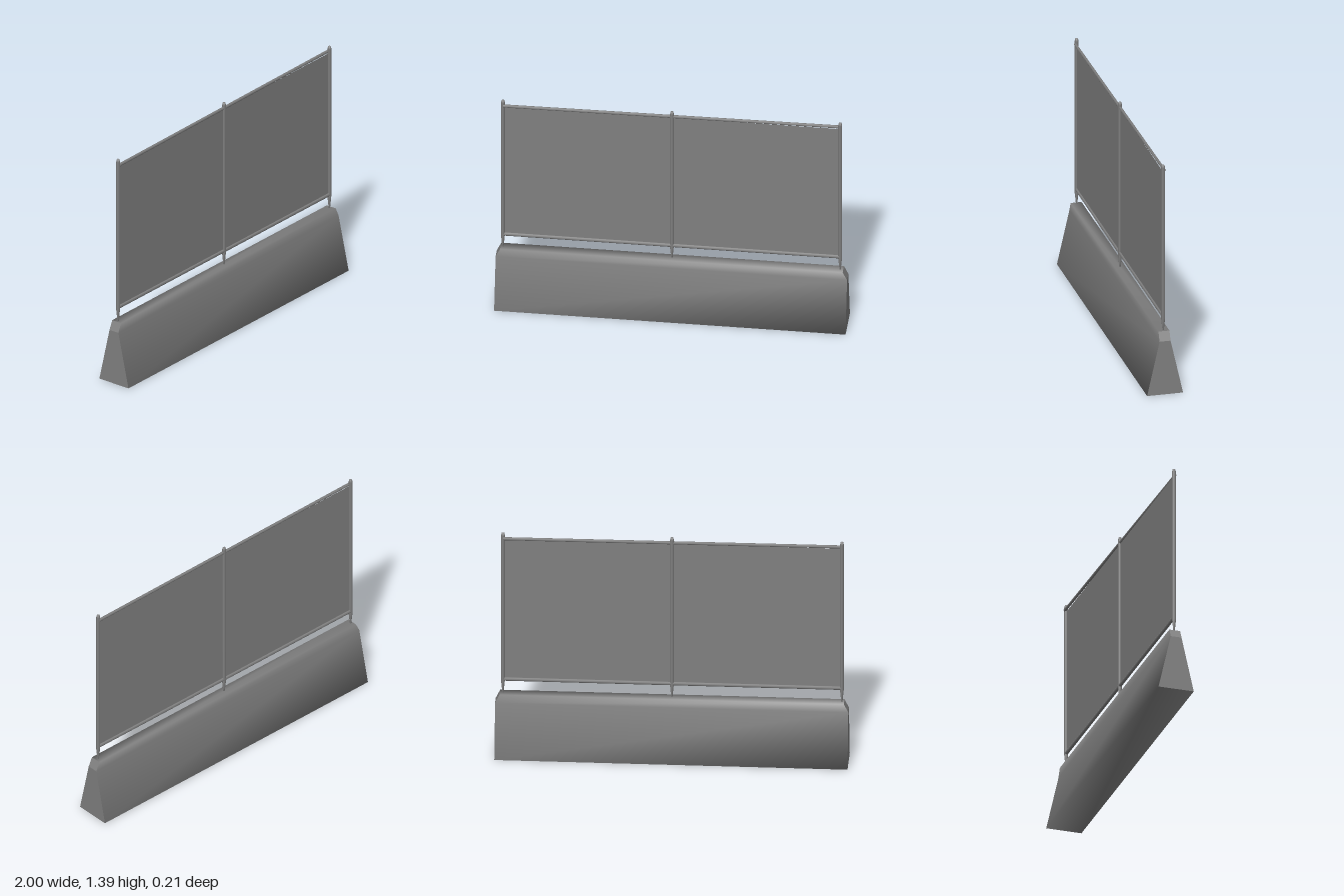
import * as THREE from 'three';

const concrete = new THREE.MeshStandardMaterial({ color: 0x808080 });
concrete.name = 'grey';
const sheet = new THREE.MeshStandardMaterial({ color: 0x808080, side: THREE.DoubleSide });
sheet.name = 'panel grey';

function add(parent, name, geometry, material = concrete) {
  const mesh = new THREE.Mesh(geometry, material);
  mesh.name = name;
  parent.add(mesh);
  return mesh;
}

// Cross-section of the base: [z, y, half length], run from front foot over the top
const SECTION = [
  [0.105, 0, 1], [0.032, 0.325, 1], [0.032, 0.377, 0.975],
  [-0.032, 0.377, 0.975], [-0.032, 0.325, 1], [-0.105, 0, 1],
];

// Long sides share corners for soft shading; the end caps are separate and crisp
function baseSides() {
  const n = SECTION.length, pos = [], index = [];
  for (const [z, y, h] of SECTION) pos.push(-h, y, z, h, y, z);
  for (let i = 0; i < n; i++) {
    const a = 2 * i, b = 2 * ((i + 1) % n);
    index.push(a, a + 1, b + 1, a, b + 1, b);
  }
  const g = new THREE.BufferGeometry();
  g.setAttribute('position', new THREE.Float32BufferAttribute(pos, 3));
  g.setIndex(index);
  g.computeVertexNormals();
  return g;
}

function baseEnd(side) {
  const pos = [], index = [];
  for (const [z, y, h] of SECTION) pos.push(side * h, y, z);
  for (const [a, b, c] of [[0, 5, 4], [0, 4, 1], [1, 4, 3], [1, 3, 2]]) {
    index.push(...(side > 0 ? [a, b, c] : [a, c, b]));
  }
  const g = new THREE.BufferGeometry();
  g.setAttribute('position', new THREE.Float32BufferAttribute(pos, 3));
  g.setIndex(index);
  const flat = g.toNonIndexed();
  flat.computeVertexNormals();
  return flat;
}

// Straight bar between two points
function bar(parent, name, from, to, radius) {
  const a = new THREE.Vector3(...from), b = new THREE.Vector3(...to);
  const mesh = add(parent, name, new THREE.CylinderGeometry(radius, radius, a.distanceTo(b), 6));
  mesh.position.copy(a).lerp(b, 0.5);
  mesh.quaternion.setFromUnitVectors(new THREE.Vector3(0, 1, 0), b.sub(a).normalize());
  return mesh;
}

export function createModel() {
  const model = new THREE.Group();
  model.name = 'barrierFence';

  // Heavy base block
  const base = new THREE.Group();
  base.name = 'base';
  model.add(base);
  add(base, 'baseSides', baseSides());
  add(base, 'leftEnd', baseEnd(1));
  add(base, 'rightEnd', baseEnd(-1));

  // Posts: spiked foot, straight shaft, blunt tip
  const profile = [[0, 0.37], [0.004, 0.375], [0.012, 0.45], [0.012, 1.37], [0.008, 1.386], [0, 1.39]]
    .map(([r, y]) => new THREE.Vector2(r, y));
  [['rightPost', -0.962], ['middlePost', 0], ['leftPost', 0.957]].forEach(([name, x]) => {
    add(model, name, new THREE.LatheGeometry(profile, 6)).position.x = x;
  });

  // Rails: the top one runs slightly askew across the panel
  bar(model, 'topRail', [-0.96, 1.352, 0.008], [0.955, 1.354, -0.008], 0.009);
  bar(model, 'bottomRail', [-0.96, 0.463, 0], [0.955, 0.463, 0], 0.011);

  // Infill panel
  const panel = add(model, 'panel', new THREE.PlaneGeometry(1.91, 0.883), sheet);
  panel.position.set(-0.002, 0.9035, 0);

  return model;
}
